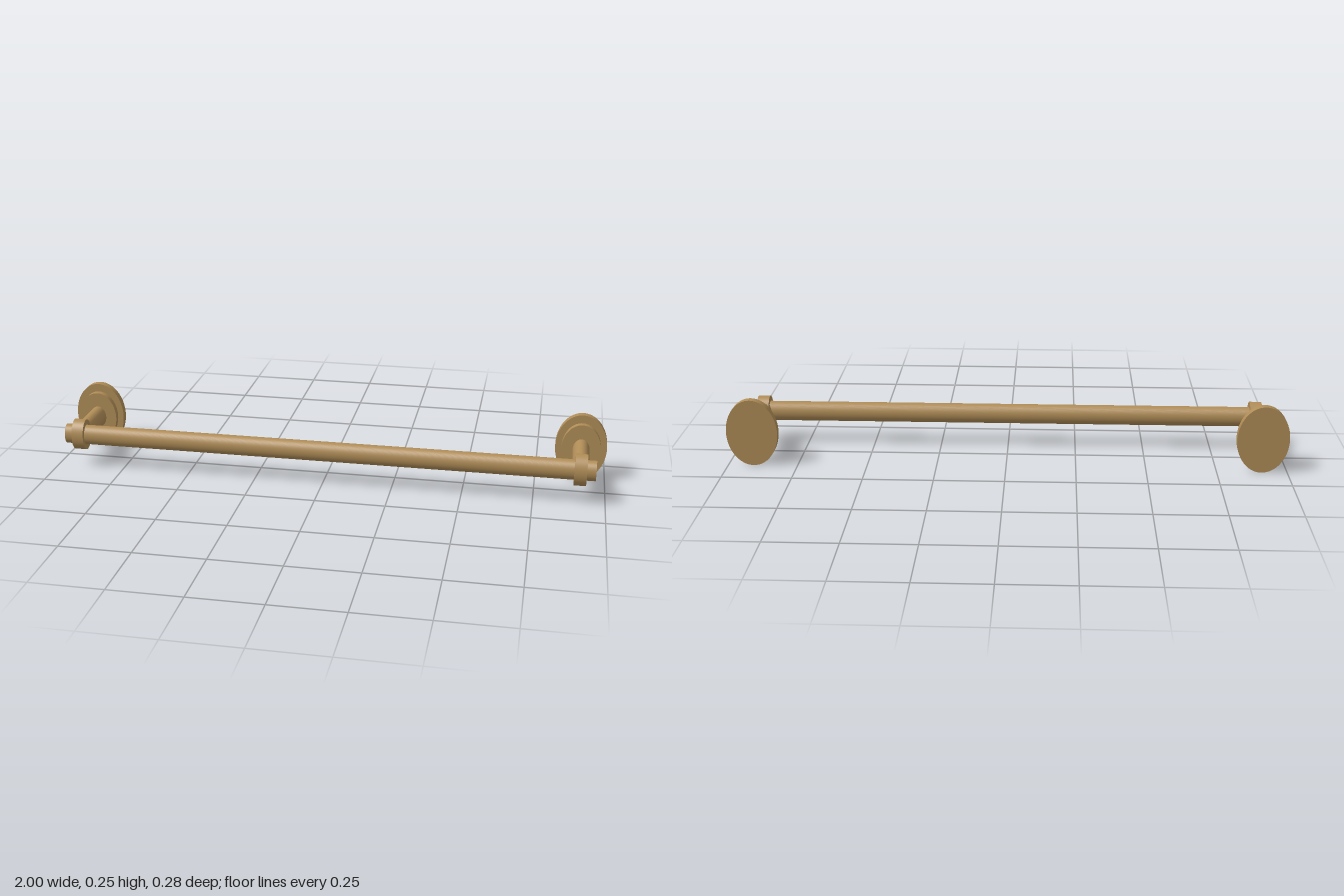
import * as THREE from 'three';

const MID_Y = 0.1235; // height of all axes
const POST_X = 0.908; // distance of each bracket from the centre
const BAR_Z = 0.095;

export function createModel() {
  const bronze = new THREE.MeshStandardMaterial({ color: 0xb08d57 });
  bronze.name = 'bronze';
  const model = new THREE.Group();
  model.name = 'towelBar';

  // Oval cylinder along z, from z0 to z1
  function ovalZ(name, rx, ry, z0, z1) {
    const g = new THREE.CylinderGeometry(1, 1, z1 - z0, 64);
    g.rotateX(Math.PI / 2).scale(rx, ry, 1).translate(0, 0, (z0 + z1) / 2);
    const mesh = new THREE.Mesh(g, bronze);
    mesh.name = name;
    return mesh;
  }

  // Oval cylinder along x, centred on the bar axis
  function ovalX(name, ry, rz, length) {
    const g = new THREE.CylinderGeometry(1, 1, length, 64);
    g.rotateZ(Math.PI / 2).scale(1, ry, rz);
    const mesh = new THREE.Mesh(g, bronze);
    mesh.name = name;
    mesh.position.z = BAR_Z;
    return mesh;
  }

  // Long rail through both brackets
  const rail = ovalX('rail', 0.0365, 0.0295, 1.922);
  rail.position.y = MID_Y;
  model.add(rail);

  // Wall brackets: stepped rosette, post, collar round the rail, set screw
  for (const side of [-1, 1]) {
    const bracket = new THREE.Group();
    bracket.name = side > 0 ? 'leftBracket' : 'rightBracket';
    bracket.position.set(side * POST_X, MID_Y, 0);
    bracket.add(
      ovalZ('wallPlate', 0.092, 0.1235, -0.138, -0.112),
      ovalZ('rosetteStep', 0.07, 0.0938, -0.112, -0.09),
      ovalZ('post', 0.03, 0.0405, -0.09, 0.09)
    );
    const collar = ovalX('collar', 0.057, 0.0437, 0.043);
    collar.position.z = 0.0943;
    bracket.add(collar);

    const screw = new THREE.Mesh(new THREE.CylinderGeometry(0.0023, 0.0023, 0.016, 16), bronze);
    screw.name = 'setScrew';
    screw.position.set(0, -0.058, -0.082);
    bracket.add(screw);
    model.add(bracket);
  }
  return model;
}
